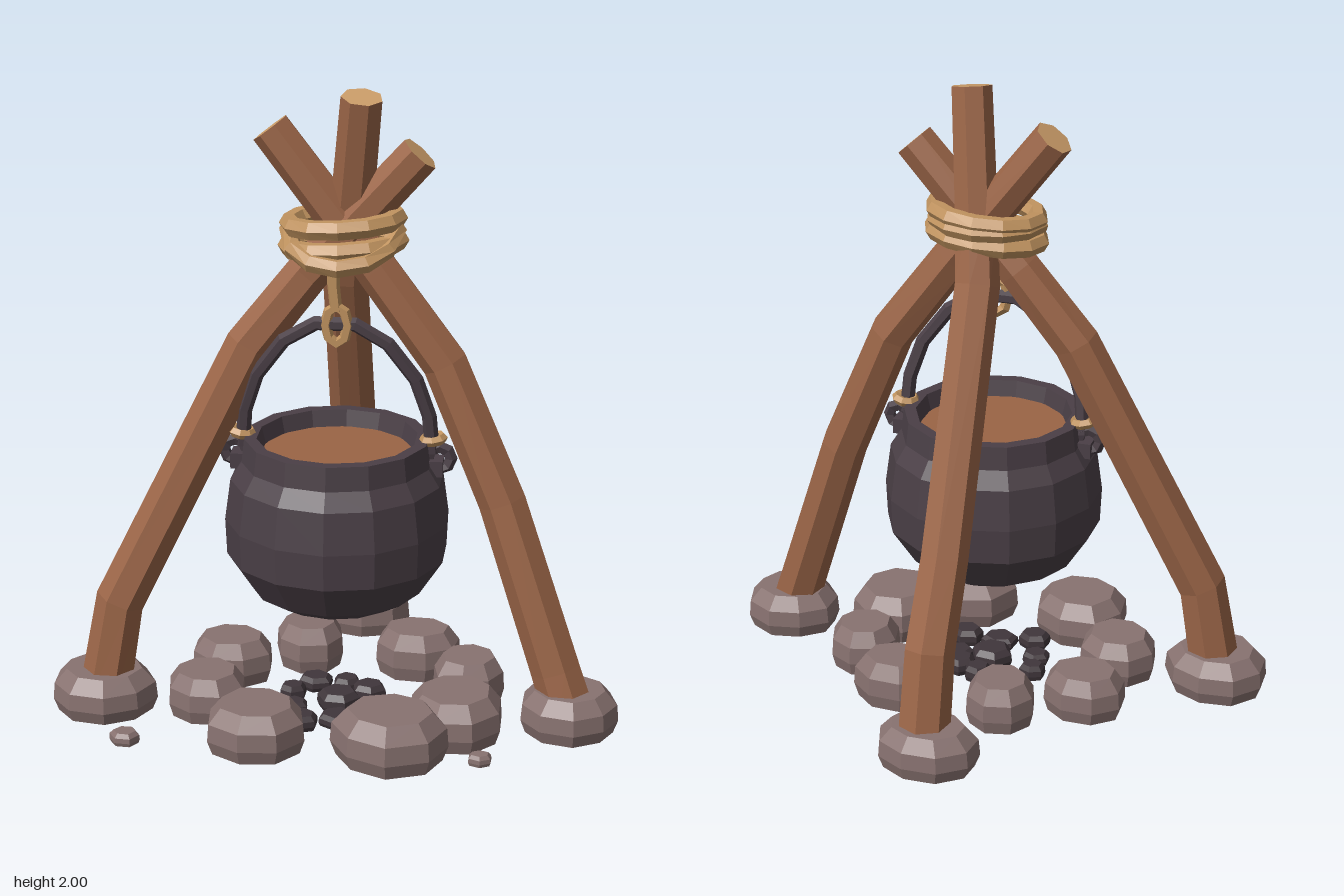
import * as THREE from 'three';

const V = (x, y, z) => new THREE.Vector3(x, y, z);
const mat = (name, color) => {
  const m = new THREE.MeshStandardMaterial({ color });
  m.name = name;
  return m;
};

// Faceted look: every face gets its own normal
function flat(geo) {
  const g = geo.index ? geo.toNonIndexed() : geo;
  g.computeVertexNormals();
  return g;
}

// Skin a list of rings (each an array of Vector3, counter-clockwise seen from the end)
function loft(rings, closed = false, caps = false) {
  const n = rings[0].length, pos = [];
  const tri = (a, b, c) => pos.push(...a.toArray(), ...b.toArray(), ...c.toArray());
  const count = closed ? rings.length : rings.length - 1;
  for (let i = 0; i < count; i++) {
    const r0 = rings[i], r1 = rings[(i + 1) % rings.length];
    for (let j = 0; j < n; j++) {
      const k = (j + 1) % n;
      tri(r0[j], r0[k], r1[k]);
      tri(r0[j], r1[k], r1[j]);
    }
  }
  if (caps) {
    const first = rings[0], last = rings[rings.length - 1];
    for (let j = 1; j < n - 1; j++) {
      tri(first[0], first[j + 1], first[j]);
      tri(last[0], last[j], last[j + 1]);
    }
  }
  const g = new THREE.BufferGeometry();
  g.setAttribute('position', new THREE.Float32BufferAttribute(pos, 3));
  return flat(g);
}

// Polygon cross-sections placed along a path
function sweepRings(pts, radius, sides, ref, closed = false) {
  const n = pts.length;
  return pts.map((p, i) => {
    const prev = closed ? pts[(i + n - 1) % n] : pts[Math.max(i - 1, 0)];
    const next = closed ? pts[(i + 1) % n] : pts[Math.min(i + 1, n - 1)];
    const t = next.clone().sub(prev).normalize();
    const u = ref.clone().addScaledVector(t, -ref.dot(t)).normalize();
    const w = t.clone().cross(u);
    const r = Array.isArray(radius) ? radius[i] : radius;
    return Array.from({ length: sides }, (_, j) => {
      const a = ((j + 0.5) / sides) * Math.PI * 2;
      return p.clone().addScaledVector(u, Math.cos(a) * r).addScaledVector(w, Math.sin(a) * r);
    });
  });
}

let seed = 7;
const rand = () => (seed = (seed * 16807) % 2147483647) / 2147483647;

// Chunky stone: flat base, bulging waist, bevelled flat top
function stoneGeometry(rx, rz, h, sides = 8) {
  const turn = rand() * Math.PI;
  const wobble = Array.from({ length: sides }, () => 0.93 + rand() * 0.1);
  const rings = [[0, 0.9], [0.3, 1], [0.68, 0.97], [1, 0.72]].map(([y, s]) =>
    wobble.map((k, j) => {
      const a = turn - (j / sides) * Math.PI * 2;
      return V(Math.cos(a) * rx * s * k, y * h, Math.sin(a) * rz * s * k);
    }));
  return loft(rings, false, true);
}

export function createModel() {
  const root = new THREE.Group();
  root.name = 'campfireCauldron';
  const wood = mat('wood', 0x9c6648);
  const cutWood = mat('cutWood', 0xcb9d69);
  const rope = mat('rope', 0xc0935f);
  const stone = mat('stone', 0x887270);
  const iron = mat('iron', 0x4a3f46);
  const coal = mat('coal', 0x40363b);
  const soup = mat('soup', 0x9a6445);

  const add = (name, geo, material, parent = root) => {
    const m = new THREE.Mesh(geo, material);
    m.name = name;
    parent.add(m);
    return m;
  };

  // Tripod poles with pale cut ends
  const poles = {
    rightPole: [[-0.73, 0.05, 0.23], [-0.675, 0.37, 0.22], [-0.27, 1.2, 0.12], [-0.09, 1.43, 0.1], [0.25, 1.81, 0.105]],
    leftPole: [[0.75, 0.05, 0.23], [0.7, 0.2, 0.21], [0.52, 0.73, 0.15], [0.335, 1.16, 0.115], [0.12, 1.45, 0.1], [-0.205, 1.87, 0.075]],
    backPole: [[0.025, 0.05, -0.52], [0.02, 0.37, -0.46], [0.01, 0.63, -0.345], [0.015, 1.4, 0.0], [0.04, 1.6, 0.07], [0.08, 1.985, 0.15]],
  };
  for (const [name, list] of Object.entries(poles)) {
    const pts = list.map((p) => V(...p));
    const radii = pts.map((_, i) => 0.084 - (0.02 * i) / (pts.length - 1));
    const rings = sweepRings(pts, radii, 7, V(0, 0, 1));
    add(name, loft(rings), wood);
    add(name + 'CutEnd', loft([rings[0], rings[0]].slice(0, 2), false, true), cutWood);
    const tip = rings[rings.length - 1];
    add(name + 'Tip', loft([tip, tip], false, true), cutWood);
  }

  // Rope lashing: two tilted loops and a sagging front strand
  const lashing = new THREE.Group();
  lashing.name = 'ropeLashing';
  root.add(lashing);
  const loop = (y, tilt, rx, rz, sag = 0, zc = 0.115) => Array.from({ length: 12 }, (_, i) => {
    const a = (-i / 12) * Math.PI * 2;
    const x = Math.cos(a) * rx, s = Math.sin(a);
    return V(0.02 + x, y + tilt * x - sag * Math.max(s, 0), zc + s * rz);
  });
  const up = V(0, 1, 0);
  add('upperLoop', loft(sweepRings(loop(1.6, 0.08, 0.165, 0.125), 0.031, 6, up, true), true), rope, lashing);
  add('lowerLoop', loft(sweepRings(loop(1.53, 0.08, 0.17, 0.12), 0.031, 6, up, true), true), rope, lashing);
  add('frontLoop', loft(sweepRings(loop(1.575, 0.02, 0.165, 0.14, 0.085, 0.125), 0.029, 6, up, true), true), rope, lashing);

  // Hanging rope with an eye that holds the handle
  add('hangingRope', loft(sweepRings([V(0, 1.5, 0.2), V(0, 1.42, 0.2), V(0.008, 1.34, 0.2)], 0.02, 5, V(0, 0, 1)), false, true), rope);
  const eye = Array.from({ length: 8 }, (_, i) => {
    const a = (i / 8) * Math.PI * 2;
    return V(0.01 + Math.cos(a) * 0.034, 1.295 + Math.sin(a) * 0.058, 0.2);
  });
  add('ropeEye', loft(sweepRings(eye, 0.018, 5, V(0, 0, 1), true), true), rope);

  // Cauldron: outer belly, flat lip, inner wall
  const pot = new THREE.Group();
  pot.name = 'cauldron';
  pot.position.set(0.005, 0, 0.145);
  root.add(pot);
  const profile = [[0, 0.385], [0.2, 0.39], [0.27, 0.43], [0.345, 0.545], [0.35, 0.66], [0.332, 0.79],
    [0.297, 0.845], [0.288, 0.92], [0.25, 0.92], [0.235, 0.86], [0.235, 0.82]];
  add('potBody', flat(new THREE.LatheGeometry(profile.map((p) => new THREE.Vector2(...p)), 14)), iron, pot);
  const broth = add('broth', new THREE.CircleGeometry(0.24, 14), soup, pot);
  broth.rotation.x = -Math.PI / 2;
  broth.position.y = 0.868;

  // Arched handle, with an iron ring and rope knot at each side
  const arch = [[-0.295, 0.88], [-0.285, 1.0], [-0.245, 1.12], [-0.16, 1.235], [-0.06, 1.295],
    [0.06, 1.295], [0.16, 1.235], [0.245, 1.12], [0.285, 1.0], [0.295, 0.88]]
    .map(([x, y]) => V(x, y, (Math.max(y - 0.9, 0) / 0.4) * 0.045));
  add('handle', loft(sweepRings(arch, 0.023, 6, V(0, 0, 1)), false, true), iron, pot);
  for (const s of [-1, 1]) {
    const side = s < 0 ? 'right' : 'left';
    const ear = add(side + 'Ear', flat(new THREE.TorusGeometry(0.035, 0.02, 5, 8)), iron, pot);
    ear.position.set(s * 0.318, 0.862, 0);
    const lug = add(side + 'Lug', flat(new THREE.BoxGeometry(0.06, 0.05, 0.07)), iron, pot);
    lug.position.set(s * 0.3, 0.835, 0);
    const knot = add(side + 'Knot', flat(new THREE.TorusGeometry(0.03, 0.016, 5, 8)), rope, pot);
    knot.rotation.set(Math.PI / 2, s * 0.15, 0);
    knot.position.set(s * 0.297, 0.923, 0);
  }

  // Stones: [x, z, radius x, radius z, height]
  const stones = (name, list, material, sides) => list.forEach(([x, z, rx, rz, h]) => {
    add(name, stoneGeometry(rx, rz, h, sides), material).position.set(x, 0, z);
  });
  stones('footStone', [[-0.735, 0.23, 0.17, 0.155, 0.14], [0.745, 0.22, 0.16, 0.145, 0.14],
    [0.01, -0.515, 0.165, 0.132, 0.14]], stone, 9);
  stones('hearthStone', [
    [-0.365, -0.05, 0.14, 0.12, 0.145], [-0.125, -0.19, 0.12, 0.12, 0.15],
    [0.23, -0.16, 0.145, 0.115, 0.155], [0.415, 0.03, 0.12, 0.12, 0.15],
    [0.395, 0.305, 0.155, 0.16, 0.155], [0.21, 0.48, 0.185, 0.165, 0.16],
    [-0.21, 0.455, 0.165, 0.155, 0.15], [-0.405, 0.225, 0.13, 0.125, 0.145],
  ], stone, 8);
  stones('pebble', [[-0.62, 0.475, 0.05, 0.045, 0.04], [0.485, 0.492, 0.04, 0.032, 0.035]], stone, 6);

  // Bed of coals
  const coals = [[0.01, 0.15, 0.07, 0.065, 0.06]];
  for (let i = 0; i < 9; i++) {
    const a = (i / 9) * Math.PI * 2, d = 0.12 + rand() * 0.06, r = 0.045 + rand() * 0.02;
    coals.push([Math.cos(a) * d, 0.15 + Math.sin(a) * d, r, r * 0.9, 0.035 + rand() * 0.02]);
  }
  stones('coal', coals, coal, 6);
  return root;
}
